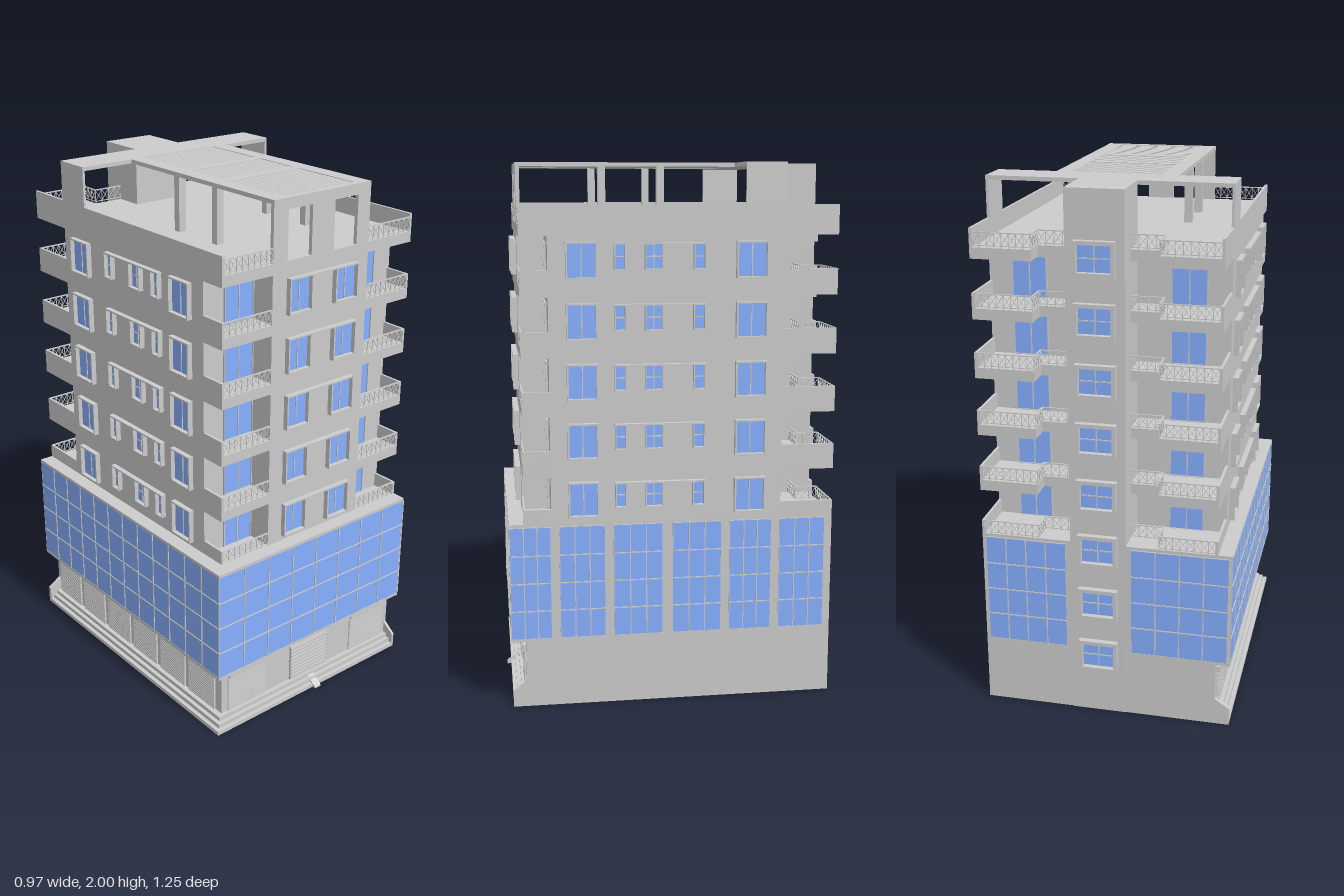
import * as THREE from 'three';
import { mergeGeometries } from 'three/addons/utils/BufferGeometryUtils.js';

const grey = new THREE.MeshStandardMaterial({ color: 0xcccccc });
const blue = new THREE.MeshStandardMaterial({ color: 0x86b0ff });

// Box from its limits
function box(x0, x1, y0, y1, z0, z1) {
  return new THREE.BoxGeometry(x1 - x0, y1 - y0, z1 - z0)
    .translate((x0 + x1) / 2, (y0 + y1) / 2, (z0 + z1) / 2);
}

function add(parent, name, geometries, material = grey) {
  const mesh = new THREE.Mesh(mergeGeometries(geometries), material);
  mesh.name = name;
  parent.add(mesh);
  return mesh;
}

// Group on a facade: u is world x (front, back) or world z (sides)
function onFace(parent, name, face, plane, u, y) {
  const g = new THREE.Group();
  g.name = name;
  g.rotation.y = { front: 0, right: Math.PI / 2, back: Math.PI, left: -Math.PI / 2 }[face];
  if (face === 'front' || face === 'back') g.position.set(u, y, plane);
  else g.position.set(plane, y, u);
  parent.add(g);
  return g;
}

// Glass with a frame and mullions, resting on a facade plane
function glazing(parent, name, face, plane, u0, u1, y0, y1, cols, rows, depth, border) {
  const g = onFace(parent, name, face, plane, (u0 + u1) / 2, (y0 + y1) / 2);
  const w = (u1 - u0) / 2, h = (y1 - y0) / 2, t = 0.002;
  add(g, 'glass', [box(-w, w, -h, h, -0.004, 0.003)], blue);
  const bars = [
    box(-w - border, -w, -h - border, h + border, -0.004, depth),
    box(w, w + border, -h - border, h + border, -0.004, depth),
    box(-w, w, h, h + border, -0.004, depth),
    box(-w, w, -h - border, -h, -0.004, depth),
  ];
  for (let i = 1; i < cols; i++) {
    const x = -w + (2 * w * i) / cols;
    bars.push(box(x - t, x + t, -h, h, 0, 0.006));
  }
  for (let j = 1; j < rows; j++) {
    const y = -h + (2 * h * j) / rows;
    bars.push(box(-w, w, y - t, y + t, 0, 0.006));
  }
  add(g, 'frame', bars);
}

// Railing with crossed bars, running along local x
function railing(parent, face, plane, u0, u1, y) {
  const g = onFace(parent, 'railing', face, plane, (u0 + u1) / 2, y);
  const w = (u1 - u0) / 2, h = 0.055, n = Math.max(2, Math.round(w * 2 / 0.027)), p = 2 * w / n;
  const r = 0.0013;
  const parts = [box(-w, w, h - 0.004, h, -0.003, 0.003), box(-w, w, 0.006, 0.009, -r, r)];
  for (let i = 0; i <= n; i++) {
    const x = -w + i * p;
    parts.push(box(x - r, x + r, 0, h, -r, r));
    if (i === n) continue;
    for (const s of [-1, 1]) {
      parts.push(new THREE.BoxGeometry(Math.hypot(p, 0.042), 0.002, 0.002)
        .rotateZ(s * Math.atan2(0.042, p)).translate(x + p / 2, 0.03, 0));
    }
  }
  add(g, 'rails', parts);
}

// Roller shutter with a blank sign board above
function shop(parent, face, plane, u0, u1) {
  const g = onFace(parent, 'shopFront', face, plane, (u0 + u1) / 2, 0.05);
  const w = (u1 - u0) / 2, slats = [];
  for (let i = 0; i < 18; i++) slats.push(box(-w, w, i * 0.0083, i * 0.0083 + 0.006, -0.002, 0.005));
  add(g, 'shutter', slats);
  add(g, 'signBoard', [box(-w, w, 0.152, 0.176, -0.002, 0.012)]);
}

function extrude(points, depth) {
  const s = new THREE.Shape(points.map(([x, y]) => new THREE.Vector2(x, y)));
  return new THREE.ExtrudeGeometry(s, { depth, bevelEnabled: false });
}

export function createModel() {
  const model = new THREE.Group();
  const L = -0.43, R = 0.46, BL = -0.21, BR = 0.24, SL = -0.09, SR = 0.12;
  const pitch = 0.2165, floorY = k => 0.7 + k * pitch, roofY = floorY(5);

  // Ground floor, steps and their sloping end walls
  add(model, 'groundFloor', [box(L, R, 0, 0.255, -0.6, 0.555)]);
  add(model, 'steps', [0, 1, 2].map(i =>
    box(-0.485 + i * 0.016, R, i * 0.016, (i + 1) * 0.016, -0.6, 0.605 - i * 0.016)));
  add(model, 'sideEndWall', [extrude([[L, 0], [L, 0.105], [-0.485, 0.07], [-0.485, 0]], 0.015).translate(0, 0, -0.6)]);
  add(model, 'frontEndWall', [extrude([[-0.55, 0], [-0.55, 0.1], [-0.605, 0.06], [-0.605, 0]], 0.01)
    .rotateY(Math.PI / 2).translate(0.45, 0, 0)]);
  add(model, 'entranceRamp', [extrude([[-0.55, 0], [-0.55, 0.052], [-0.62, 0.006], [-0.62, 0]], 0.03)
    .rotateY(Math.PI / 2).translate(0, 0, 0)]);

  // Shops and entrance
  shop(model, 'front', 0.557, -0.4, -0.215);
  shop(model, 'front', 0.557, 0.24, 0.425);
  for (let i = 0; i < 6; i++) shop(model, 'left', L - 0.002, -0.57 + i * 0.186, -0.41 + i * 0.186);
  glazing(model, 'entranceDoor', 'front', 0.556, -0.082, 0.108, 0.052, 0.198, 2, 1, 0.008, 0.003);
  const bars = [];
  for (let i = 0; i < 9; i++) bars.push(box(-0.082, 0.108, 0.056 + i * 0.016, 0.066 + i * 0.016, 0.558, 0.566));
  add(model, 'entranceGrille', bars);

  // Glazed podium
  add(model, 'podium', [box(-0.475, R, 0.255, 0.7, -0.6, 0.6),
    box(-0.485, R, 0.252, 0.264, -0.6, 0.61), box(-0.485, R, 0.69, 0.702, -0.6, 0.61)]);
  glazing(model, 'frontCurtainWall', 'front', 0.606, -0.484, 0.458, 0.264, 0.69, 8, 4, 0.004, 0.001);
  glazing(model, 'leftCurtainWall', 'left', -0.481, -0.598, 0.608, 0.264, 0.69, 12, 4, 0.004, 0.001);
  for (const [a, b] of [[0.46, 0.607], [0.26, 0.425], [0.045, 0.225], [-0.175, 0.005], [-0.365, -0.21], [-0.57, -0.4]])
    glazing(model, 'rightGlazing', 'right', R, a, b, 0.265, 0.688, 3, 4, 0.004, 0.002);
  for (const [a, b] of [[-0.47, -0.11], [0.14, 0.445]])
    glazing(model, 'backGlazing', 'back', -0.6, a, b, 0.265, 0.688, 4, 4, 0.004, 0.002);

  // Tower body, front bay and stair shaft
  add(model, 'tower', [box(L, R, 0.7, roofY, -0.4, 0.455)]);
  add(model, 'frontBay', [box(BL, BR, 0.7, roofY, 0.455, 0.555)]);
  add(model, 'stairShaft', [box(SL, SR, 0, 2, -0.602, -0.4)]);
  for (let i = 0; i < 8; i++) {
    const y = 0.18 + i * 0.2175;
    glazing(model, 'stairWindow', 'back', -0.602, -0.045, 0.075, y + 0.014, y + 0.11, 2, 2, 0.023, 0.014);
  }

  // Corner balconies: slabs, solid side bands and railings
  for (let k = 0; k <= 5; k++) {
    const y = floorY(k);
    for (const [a, b, n, side] of [[L, BL, SL, L], [BR, R, SR, R - 0.01]]) {
      const inner = a === L ? BL : BR;
      if (k > 0) {
        add(model, 'balconySlab', [box(a, b, y - 0.04, y, 0.455, 0.555), box(a, b, y - 0.04, y, -0.6, -0.4),
          box(Math.min(n, inner), Math.max(n, inner), y - 0.04, y, -0.515, -0.4)]);
      }
      const low = k ? y - 0.04 : y;
      add(model, 'balconySideBand', [box(side, side + 0.01, low, y + 0.055, 0.455, 0.555),
        box(side, side + 0.01, low, y + 0.055, -0.6, -0.4)]);
      const r0 = a === L ? a + 0.01 : a, r1 = a === L ? b : b - 0.01;
      railing(model, 'front', 0.552, r0, r1, y);
      railing(model, 'back', -0.597, r0, r1, y);
      railing(model, 'left', inner, -0.597, -0.515, y);
      railing(model, 'back', -0.515, Math.min(n, inner), Math.max(n, inner), y);
    }
  }

  // Windows of the five upper storeys
  for (let k = 0; k < 5; k++) {
    const y = floorY(k), lo = y + 0.03, hi = y + 0.15;
    for (const [a, b] of [[-0.34, -0.216], [0.246, 0.37]]) {
      glazing(model, 'frontBalconyDoor', 'front', 0.455, a, b, y + 0.003, hi, 2, 1, 0.008, 0.003);
      glazing(model, 'backBalconyDoor', 'back', -0.4, a, b, y + 0.003, hi, 2, 1, 0.008, 0.003);
    }
    for (const [a, b] of [[-0.14, -0.045], [0.076, 0.174]])
      glazing(model, 'frontWindow', 'front', 0.555, a, b, lo, hi, 2, 1, 0.02, 0.006);
    add(model, 'frontHood', [box(-0.146, 0.18, hi, hi + 0.006, 0.553, 0.575)]);
    for (const [face, plane, x0, x1] of [['right', R, R, R + 0.02], ['left', L, L - 0.02, L]]) {
      for (const [a, b] of [[0.286, 0.386], [-0.332, -0.228]])
        glazing(model, 'sideWindow', face, plane, a, b, lo, hi, 2, 1, 0.02, 0.006);
      for (const [a, b, c] of [[0.182, 0.216, 1], [0.048, 0.106, 2], [-0.106, -0.07, 1]])
        glazing(model, 'smallWindow', face, plane, a, b, y + 0.06, y + 0.146, c, 2, 0.02, 0.004);
      add(model, 'sideHood', [box(x0, x1, y + 0.146, y + 0.152, -0.112, 0.222)]);
    }
  }

  // Roof parapets and the portal across the back
  add(model, 'parapet', [L, R - 0.01].map(x => box(x, x + 0.01, roofY, 1.85, -0.6, 0.555)));
  add(model, 'roofPortal', [box(L, R, 1.985, 2, -0.405, -0.257),
    ...[L, R - 0.01].map(x => box(x, x + 0.01, 1.85, 2, -0.405, -0.257))]);

  // Pergola: front wall with two openings, posts, frame and louvres
  const wall = [box(BL, BR, 1.96, 2, 0.54, 0.555)];
  for (const [a, b] of [[BL, -0.145], [-0.035, 0.07], [0.18, BR]]) wall.push(box(a, b, roofY, 1.96, 0.54, 0.555));
  add(model, 'pergolaFrontWall', wall);
  const posts = [];
  for (const z of [0.24, 0.022]) for (const x of [BL, BR - 0.03])
    posts.push(box(x, x + 0.03, roofY, 1.985, z - 0.014, z + 0.014));
  add(model, 'pergolaPosts', posts);
  const frame = [box(BL, -0.15, 1.985, 2, -0.257, 0.54), box(0.18, BR, 1.985, 2, -0.257, 0.54)];
  for (const [a, b] of [[0.002, 0.035], [0.207, 0.25], [0.53, 0.54]]) frame.push(box(-0.15, 0.18, 1.985, 2, a, b));
  add(model, 'pergolaFrame', frame);
  const slats = [];
  for (const [a, b] of [[-0.257, 0.002], [0.035, 0.207], [0.25, 0.53]]) {
    const n = Math.round((b - a) / 0.0165), p = (b - a) / n;
    for (let i = 0; i < n; i++) slats.push(box(-0.15, 0.18, 1.987, 1.998, a + i * p + 0.002, a + (i + 1) * p - 0.002));
  }
  add(model, 'pergolaLouvres', slats);

  return model;
}
